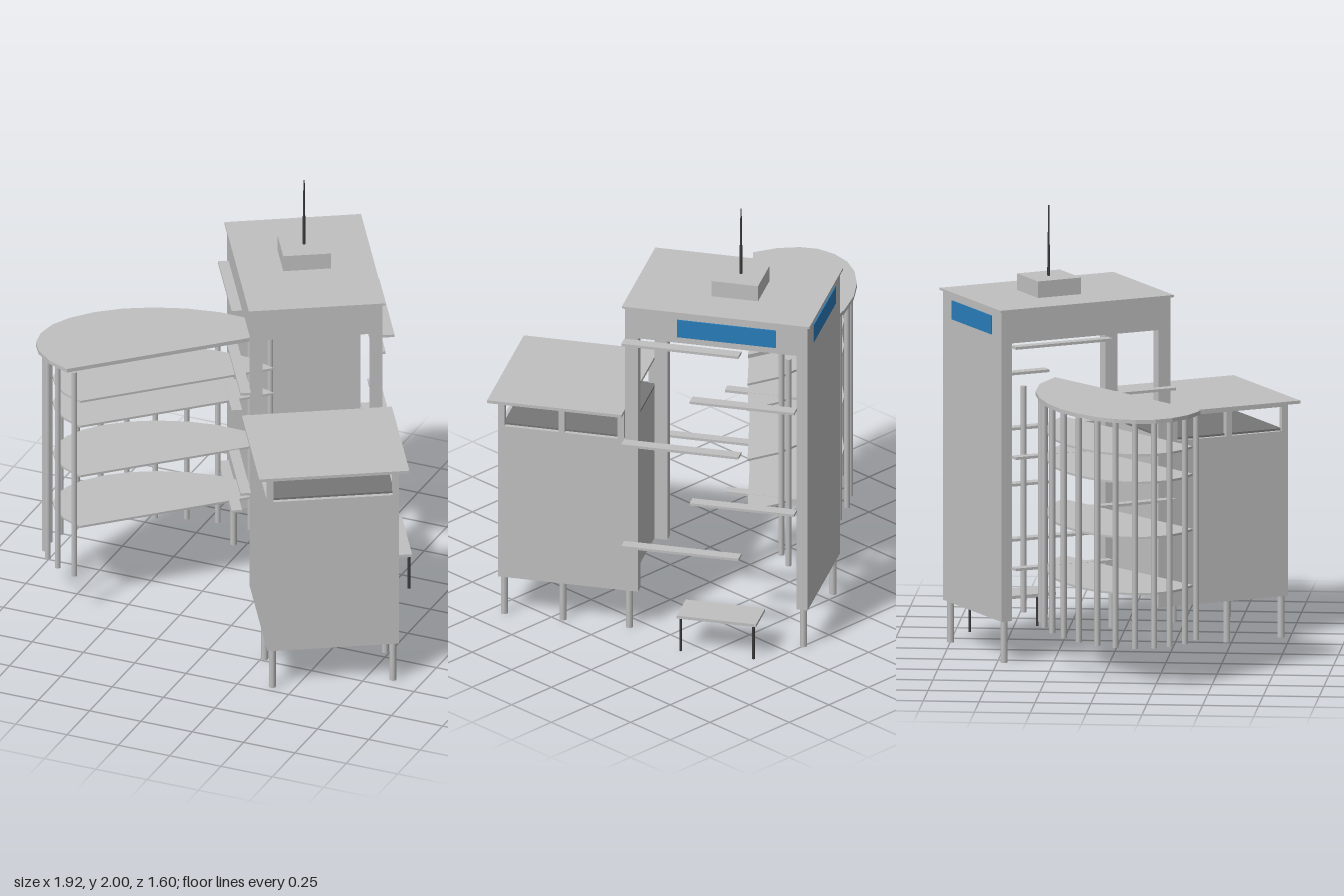
import * as THREE from 'three';

export function createModel() {
  const model = new THREE.Group();
  model.name = 'building';
  const mat = (name, color, extra = {}) => {
    const m = new THREE.MeshStandardMaterial({ color, ...extra });
    m.name = name;
    return m;
  };
  const concrete = mat('concrete grey', 0xc0c0c0);
  const dark = mat('dark grey', 0x777777);
  const metal = mat('mast metal', 0x3c3c3c);
  const blue = mat('sign blue', 0x2a7dbb);

  // The main block is turned 31 degrees; its parts use the turned axes
  const block = new THREE.Group();
  block.name = 'mainBlock';
  block.rotation.y = THREE.MathUtils.degToRad(31);
  model.add(block);

  const add = (parent, name, geometry, material) => {
    const mesh = new THREE.Mesh(geometry, material);
    mesh.name = name;
    parent.add(mesh);
    return mesh;
  };
  // Box from its lower and upper limits on each axis
  const box = (name, x0, x1, y0, y1, z0, z1, material = concrete) =>
    add(block, name, new THREE.BoxGeometry(x1 - x0, y1 - y0, z1 - z0), material)
      .position.set((x0 + x1) / 2, (y0 + y1) / 2, (z0 + z1) / 2);
  const column = (parent, name, x, z, y0, y1, r, material = concrete, rTop = r) =>
    add(parent, name, new THREE.CylinderGeometry(rTop, r, y1 - y0, 8), material)
      .position.set(x, (y0 + y1) / 2, z);

  const L = -0.045, R = 0.547, BACK = -0.585, MID = 0.255, FRONT = 0.837;

  // Tower: back slab, two front posts and the heavy top storey
  box('towerBackSlab', L, R, 0.19, 1.45, BACK, -0.533);
  box('towerLeftPost', L, L + 0.052, 0.19, 1.45, MID - 0.06, MID);
  box('towerRightPost', R - 0.052, R, 0.19, 1.45, MID - 0.06, MID);
  box('towerTopStorey', L, R, 1.45, 1.595, BACK, MID);
  box('towerRoof', L - 0.011, R + 0.011, 1.595, 1.605, BACK - 0.011, MID + 0.011);
  box('roofHouse', 0.145, 0.36, 1.605, 1.68, -0.31, -0.097);
  column(block, 'mastBase', 0.252, -0.205, 1.68, 1.82, 0.007, metal, 0.006);
  column(block, 'mastTip', 0.252, -0.205, 1.82, 2, 0.005, metal, 0.003);

  // Blue sign panels
  box('rightSign', R, R + 0.006, 1.48, 1.565, -0.44, 0.014, blue);
  box('backSign', 0.05, 0.45, 1.48, 1.565, BACK - 0.006, BACK, blue);

  // Side ledges, staggered from level to level
  [1.435, 1.185, 0.935, 0.68, 0.43].forEach((y, i) => {
    const fore = [-0.28, 0.258], aft = [-0.536, -0.056];
    const [r, l] = i % 2 ? [aft, fore] : [fore, aft];
    box('rightLedge', R, 0.6, y - 0.006, y + 0.006, ...r);
    box('leftLedge', -0.092, L, y - 0.006, y + 0.006, ...l);
  });

  // Front hall with an open roof terrace
  box('hall', L, R, 0.19, 0.94, MID, FRONT);
  box('terraceFloor', L + 0.02, R - 0.02, 0.94, 0.949, MID, FRONT - 0.02, dark);
  box('hallRoof', -0.087, 0.588, 1.066, 1.08, 0.26, 0.878);
  for (const [x0, x1] of [[L, L + 0.028], [R - 0.028, R]]) {
    for (const z of [MID + 0.005, 0.532, FRONT - 0.028]) {
      box('terracePost', x0, x1, 0.94, 1.066, z, z + 0.028);
    }
    box('sideBeam', x0, x1, 1.05, 1.066, MID + 0.005, FRONT);
  }
  box('frontBeam', L, R, 1.05, 1.066, FRONT - 0.028, FRONT);

  // Legs under the hall and the slab
  const legs = [[-0.02, 0.815], [0.522, 0.815], [-0.02, 0.546], [0.522, 0.546],
    [0.522, 0.24], [-0.02, -0.56], [0.522, -0.56]];
  for (const [x, z] of legs) column(block, 'leg', x, z, 0, 0.19, 0.016);

  // Entrance canopy
  box('entranceCanopy', R, 0.715, 0.164, 0.178, -0.39, -0.025);
  for (const z of [-0.375, -0.04]) column(block, 'canopyPost', 0.703, z, 0, 0.164, 0.006, metal);

  // Curved wing: outline in plan (x, z)
  const wing = new THREE.Group();
  wing.name = 'curvedWing';
  model.add(wing);
  const outline = [[-0.715, 0.445], [-0.82, 0.4], [-0.9, 0.335], [-0.945, 0.265],
    [-0.96, 0.175], [-0.945, 0.08], [-0.9, -0.01], [-0.82, -0.105], [-0.72, -0.185],
    [-0.6, -0.25], [-0.46, -0.3], [-0.31, -0.328], [-0.14, -0.325], [0.03, -0.27]];
  const inset = (k) => outline.map(([x, z]) =>
    new THREE.Vector2(-0.28 + (x + 0.28) * k, 0.08 + (z - 0.08) * k));
  const plate = (name, k, top, depth) => {
    const g = new THREE.ExtrudeGeometry(new THREE.Shape(inset(k)), { depth, bevelEnabled: false });
    g.rotateX(Math.PI / 2).translate(0, top, 0);
    add(wing, name, g, concrete);
  };
  plate('wingRoof', 1, 1.235, 0.018);
  for (const y of [1.065, 0.94, 0.69, 0.435]) plate('wingFloor', 0.89, y, 0.01);
  for (const p of inset(0.94).slice(0, -1)) column(wing, 'wingColumn', p.x, p.y, 0.19, 1.217, 0.0135);
  column(wing, 'innerColumn', -0.095, -0.4, 0.19, 1.217, 0.0135);

  return model;
}
